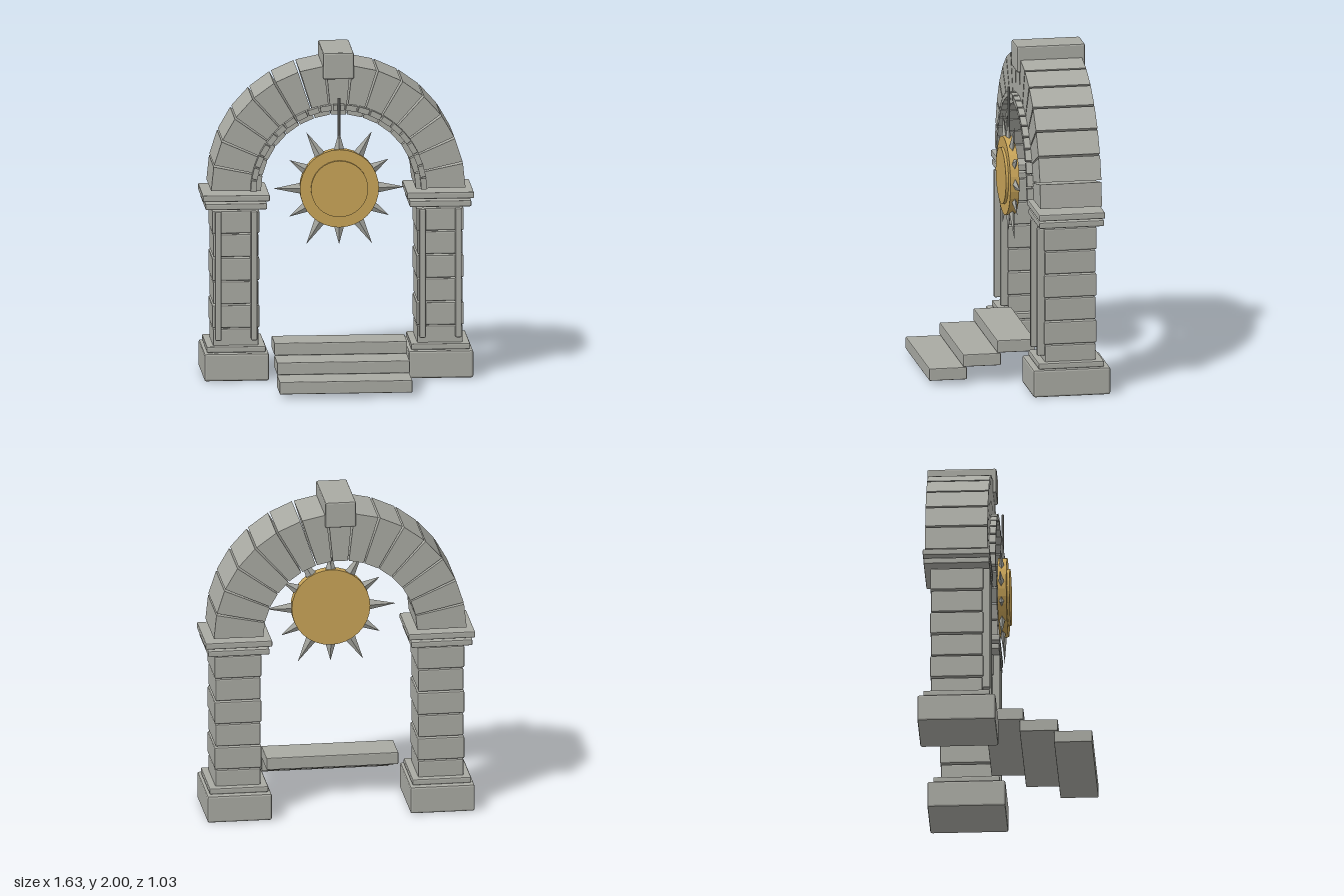
import * as THREE from 'three';
import { RoundedBoxGeometry } from 'three/addons/geometries/RoundedBoxGeometry.js';

const material = (name, color) => {
  const m = new THREE.MeshStandardMaterial({ color, flatShading: true });
  m.name = name;
  return m;
};

export function createModel() {
  const stone = material('stone', 0xa9aaa3);
  const gold = material('gold', 0xc8a458);
  const iron = material('iron', 0x8c8d89);
  const model = new THREE.Group();
  model.name = 'sunArch';

  const add = (parent, name, geometry, mat) => {
    const mesh = new THREE.Mesh(geometry, mat);
    mesh.name = name;
    parent.add(mesh);
    return mesh;
  };
  // Chamfered stone block given by its extents
  const block = (parent, name, x0, x1, y0, y1, z0, z1, bevel = 0.008) => {
    const geometry = new RoundedBoxGeometry(x1 - x0, y1 - y0, z1 - z0, 1, bevel);
    const mesh = add(parent, name, geometry, stone);
    mesh.position.set((x0 + x1) / 2, (y0 + y1) / 2, (z0 + z1) / 2);
    return mesh;
  };

  // Pillars: plinth, coursed shaft, front strips and capital
  for (const side of [-1, 1]) {
    const pillar = new THREE.Group();
    pillar.name = side > 0 ? 'leftPillar' : 'rightPillar';
    pillar.position.x = side * 0.615;
    model.add(pillar);
    block(pillar, 'plinth', -0.195, 0.195, 0.005, 0.173, -0.515, -0.045, 0.012);
    block(pillar, 'plinthStep', -0.178, 0.178, 0.173, 0.21, -0.48, -0.08);
    for (let i = 0; i < 6; i++) {
      const w = i % 2 ? 0.142 : 0.137;
      const y = 0.172 + i * 0.1445;
      block(pillar, 'shaftBlock', -w, w, y, y + 0.138, -0.28 - w - 0.018, -0.28 + w + 0.018);
    }
    for (const x of [-0.108, 0.108]) {
      block(pillar, 'frontStrip', x - 0.019, x + 0.019, 0.245, 1.035, -0.13, -0.08);
    }
    block(pillar, 'lowerCapital', -0.186, 0.186, 1.046, 1.084, -0.478, -0.082);
    block(pillar, 'upperCapital', -0.202, 0.202, 1.096, 1.136, -0.482, -0.078);
  }

  // Arch of fifteen wedge stones
  const archY = 1.155;
  const arch = new THREE.Group();
  arch.name = 'arch';
  arch.position.set(0, archY, 0);
  model.add(arch);
  const step = Math.PI / 15;
  const half = step / 2 - 0.008;
  const inner = 0.467, outer = 0.766;
  const wedge = new THREE.Shape([
    [inner, -half], [outer, -half], [outer, half], [inner, half],
  ].map(([r, a]) => new THREE.Vector2(r * Math.cos(a), r * Math.sin(a))));
  const wedgeGeometry = new THREE.ExtrudeGeometry(wedge, { depth: 0.375, bevelEnabled: false });
  for (let i = 0; i < 15; i++) {
    const stoneWedge = add(arch, 'archStone', wedgeGeometry, stone);
    stoneWedge.rotation.z = (i + 0.5) * step;
    stoneWedge.position.z = -0.47;
  }
  block(model, 'keystone', -0.093, 0.093, 1.838, 2, -0.49, -0.073, 0.01);

  // Small raised trim along the front of the arch
  const trimGeometry = new THREE.BoxGeometry(0.034, 0.067, 0.045);
  for (let i = 0; i < 21; i++) {
    const a = ((i + 0.5) * Math.PI) / 21;
    const trim = add(arch, 'trimBlock', trimGeometry, stone);
    trim.position.set(0.513 * Math.cos(a), 0.513 * Math.sin(a), -0.08);
    trim.rotation.z = a;
  }

  // Hanging sun disc with alternating long and short rays
  const sun = new THREE.Group();
  sun.name = 'sun';
  sun.position.set(0, 1.183, 0);
  model.add(sun);
  const disc = (name, radius, z0, z1) => {
    const geometry = new THREE.CylinderGeometry(radius, radius, z1 - z0, 32);
    geometry.rotateX(Math.PI / 2);
    add(sun, name, geometry, gold).position.z = (z0 + z1) / 2;
  };
  disc('sunDisc', 0.238, -0.062, -0.008);
  disc('sunFace', 0.172, -0.02, 0.008);
  for (let i = 0; i < 12; i++) {
    const tip = i % 2 ? 0.346 : 0.396;
    const geometry = new THREE.ConeGeometry(0.04, tip - 0.2, 4);
    geometry.translate(0, (tip + 0.2) / 2, 0);
    geometry.scale(1, 1, 0.5);
    const ray = add(sun, 'ray', geometry, stone);
    ray.rotation.z = (i * Math.PI) / 6 - Math.PI / 2;
    ray.position.z = -0.038;
  }
  const rod = add(model, 'hangingRod', new THREE.CylinderGeometry(0.008, 0.008, 0.33, 8), iron);
  rod.position.set(0, 1.565, -0.04);

  // Three steps rising toward the opening
  for (let i = 0; i < 3; i++) {
    const z = 0.517 - i * 0.207;
    const y = 0.032 + i * 0.078;
    block(model, 'step', -0.4, 0.4, y, y + 0.076, z - 0.23, z, 0.006);
  }
  return model;
}
